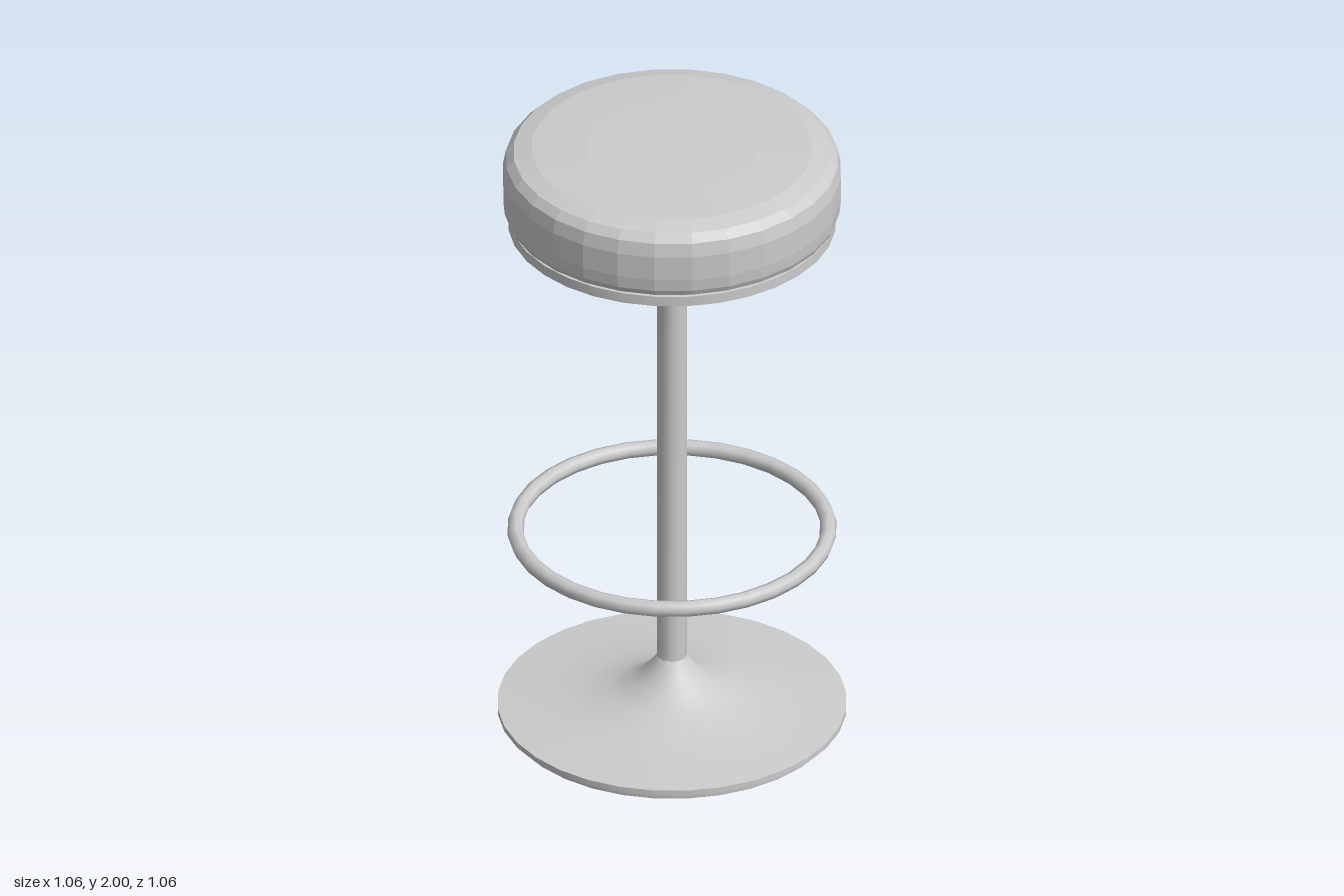
import * as THREE from 'three';
import { toCreasedNormals } from 'three/addons/utils/BufferGeometryUtils.js';

const smooth = new THREE.MeshStandardMaterial({ color: 0xcccccc });
const faceted = new THREE.MeshStandardMaterial({ color: 0xcccccc, flatShading: true });

function part(name, geometry, material = smooth) {
  const mesh = new THREE.Mesh(geometry, material);
  mesh.name = name;
  return mesh;
}

// Profile points are [radius, y], listed from bottom to top along the outside.
function turned(points, sides) {
  return new THREE.LatheGeometry(points.map(([r, y]) => new THREE.Vector2(r, y)), sides);
}

// Lever: bent rod with a flat oval paddle at its end
function createLever() {
  const lever = new THREE.Group();
  lever.name = 'heightLever';
  const path = new THREE.CurvePath();
  const corners = [[-0.145, 1.74], [-0.15, 1.69], [-0.165, 1.665], [-0.29, 1.63]]
    .map(([x, y]) => new THREE.Vector3(x, y, 0));
  for (let i = 1; i < corners.length; i++) path.add(new THREE.LineCurve3(corners[i - 1], corners[i]));
  lever.add(part('leverRod', new THREE.TubeGeometry(path, 16, 0.007, 6)));

  const paddle = part('leverPaddle', turned([
    [0, -0.012], [0.05, -0.012], [0.061, -0.004], [0.061, 0.004], [0.05, 0.012], [0, 0.012],
  ], 16), faceted);
  paddle.scale.set(1, 1, 0.72);
  paddle.position.set(-0.342, 1.61, 0);
  paddle.rotation.z = 0.29;
  lever.add(paddle);
  return lever;
}

export function createModel() {
  const stool = new THREE.Group();
  stool.name = 'barStool';

  // Flared foot: thin shell, hollow underneath, with a stepped rim
  const foot = turned([
    [0.042, 0.195], [0.065, 0.155], [0.12, 0.105], [0.18, 0.075], [0.28, 0.05], [0.49, 0.022],
    [0.492, 0], [0.505, 0], [0.507, 0.02], [0.528, 0.024], [0.528, 0.042],
    [0.4, 0.052], [0.28, 0.066], [0.18, 0.09], [0.12, 0.12], [0.075, 0.162], [0.055, 0.19], [0.044, 0.206],
  ], 32);
  stool.add(part('base', toCreasedNormals(foot, 0.5)));

  // Centre column
  const column = new THREE.CylinderGeometry(0.045, 0.045, 1.56, 12);
  column.translate(0, 0.965, 0);
  stool.add(part('column', toCreasedNormals(column, 0.7)));

  // Foot ring
  const ring = new THREE.TorusGeometry(0.473, 0.025, 8, 32);
  ring.rotateX(Math.PI / 2);
  ring.translate(0, 0.65, 0);
  stool.add(part('footRing', ring));

  // Plate below the cushion, with a narrow groove where they meet
  const plate = turned([
    [0, 1.73], [0.496, 1.73], [0.496, 1.763], [0.487, 1.764], [0.487, 1.78],
  ], 32);
  stool.add(part('seatPlate', toCreasedNormals(plate, 0.5)));

  // Padded cushion with rounded edges and a gently domed top
  stool.add(part('cushion', turned([
    [0, 1.772], [0.5, 1.772], [0.508, 1.79], [0.512, 1.83], [0.512, 1.91], [0.503, 1.953],
    [0.48, 1.978], [0.425, 1.992], [0.26, 2], [0, 2],
  ], 28), faceted));

  stool.add(createLever());
  return stool;
}
